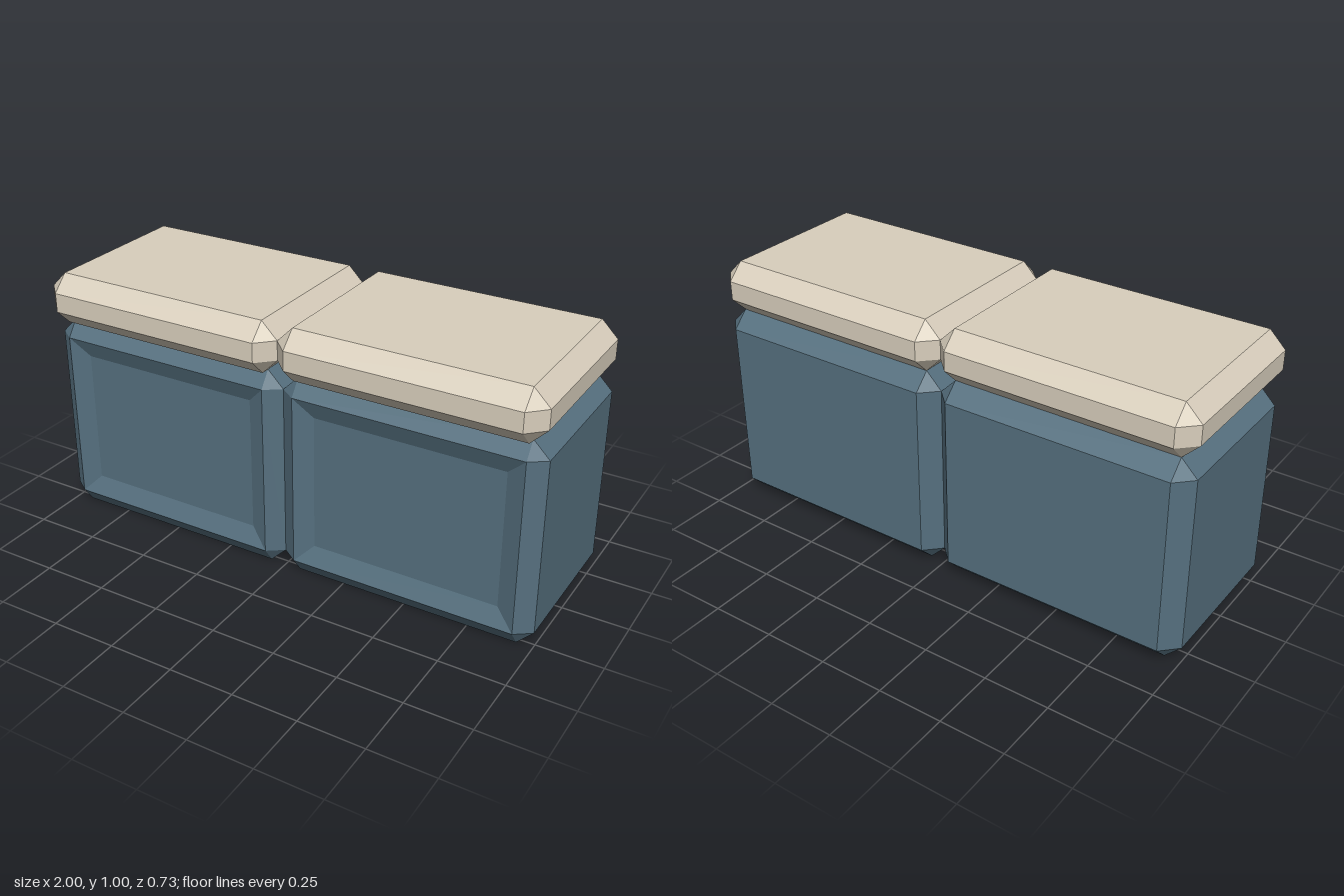
import * as THREE from 'three';

const BEVEL = 0.0625;

// Eight-point ring in the xy plane (counter-clockwise seen from +z); c = 0 makes a rectangle
function ring(x, y, c, z) {
  return [
    [x, -y + c], [x, y - c], [x - c, y], [-x + c, y],
    [-x, y - c], [-x, -y + c], [-x + c, -y], [x - c, -y],
  ].map(([px, py]) => new THREE.Vector3(px, py, z));
}

// Skins rings ordered back to front and caps both ends, with flat facets
function skin(rings) {
  const pos = [];
  const tri = (a, b, c) => {
    const area = new THREE.Vector3().subVectors(b, a).cross(new THREE.Vector3().subVectors(c, a)).length();
    if (area > 1e-8) pos.push(...a, ...b, ...c);
  };
  for (let r = 0; r < rings.length - 1; r++) {
    const p = rings[r], q = rings[r + 1];
    for (let i = 0; i < 8; i++) {
      const j = (i + 1) % 8;
      tri(p[i], p[j], q[j]);
      tri(p[i], q[j], q[i]);
    }
  }
  const back = rings[0], front = rings[rings.length - 1];
  for (let i = 1; i < 7; i++) {
    tri(back[0], back[i + 1], back[i]);
    tri(front[0], front[i], front[i + 1]);
  }
  const geo = new THREE.BufferGeometry();
  geo.setAttribute('position', new THREE.Float32BufferAttribute(pos, 3));
  geo.computeVertexNormals();
  return geo;
}

// Bevelled box; a recess {inset, depth} sinks a sloped panel into the front
function bevelledBox(w, h, zBack, zFront, frontBevel, recess) {
  const x = w / 2, y = h / 2, b = BEVEL;
  const rings = [
    ring(x - b, y - b, 0, zBack),
    ring(x, y, b, zBack + b),
    ring(x, y, b, zFront - frontBevel),
    ring(x - b, y - b, 0, zFront),
  ];
  if (recess) {
    const s = b + recess.inset;
    rings.push(ring(x - s, y - s, 0, zFront - recess.depth));
  }
  return skin(rings);
}

export function createModel() {
  const model = new THREE.Group();
  model.name = 'counter';
  const blue = new THREE.MeshStandardMaterial({ color: 0x56707f, flatShading: true });
  const cream = new THREE.MeshStandardMaterial({ color: 0xd9cfbd, flatShading: true });

  const bodyGeo = bevelledBox(1, 0.8, -0.367, 0.315, 0.045, { inset: 0.072, depth: 0.03 });
  const topGeo = bevelledBox(1, 0.2, -0.367, 0.367, BEVEL);

  // Two identical units side by side
  for (const [side, x] of [['left', 0.5], ['right', -0.5]]) {
    const unit = new THREE.Group();
    unit.name = side + 'Unit';
    unit.position.x = x;

    const body = new THREE.Mesh(bodyGeo, blue);
    body.name = 'cabinet';
    body.position.y = 0.4;

    const top = new THREE.Mesh(topGeo, cream);
    top.name = 'worktop';
    top.position.y = 0.9;

    unit.add(body, top);
    model.add(unit);
  }
  return model;
}
